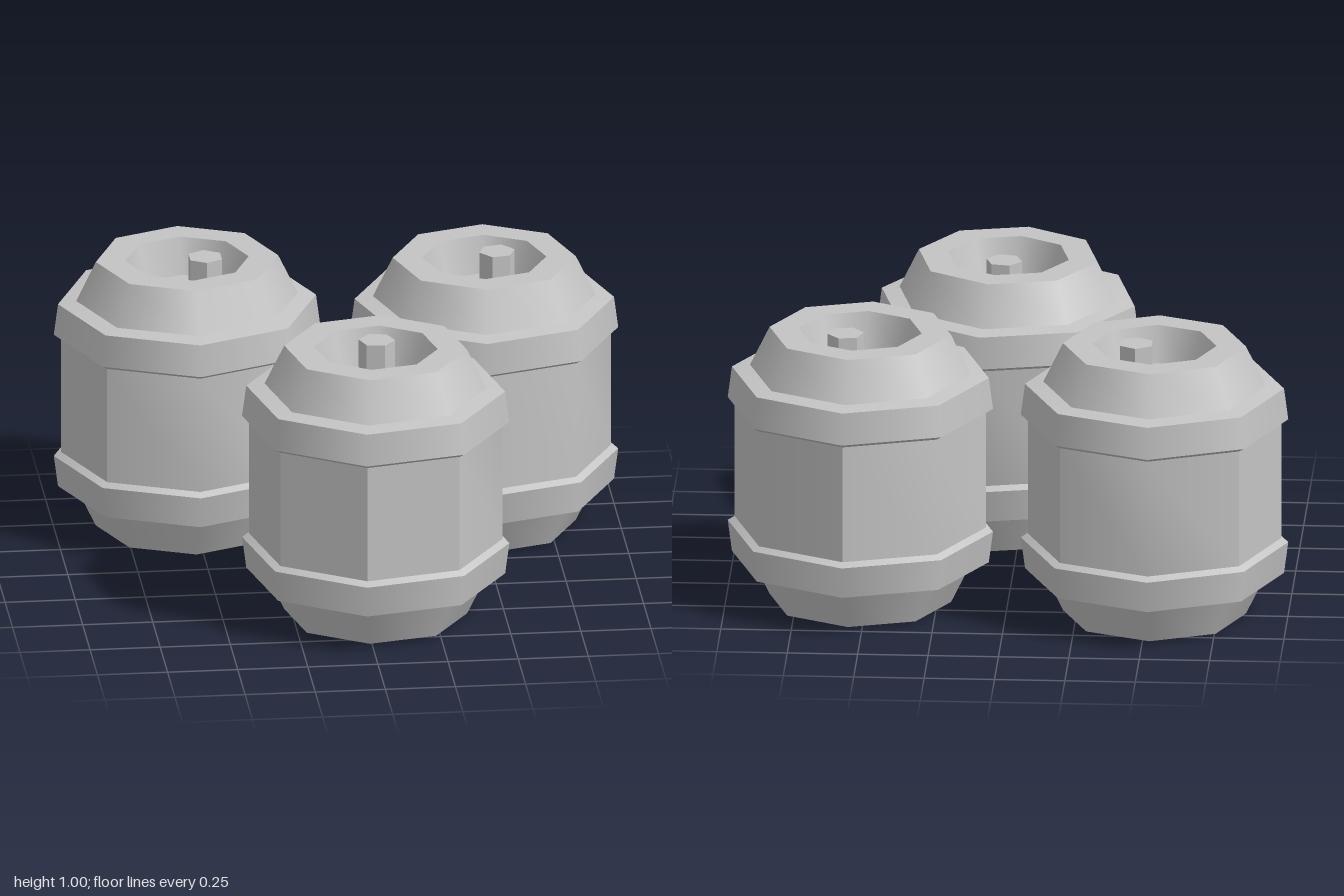
import * as THREE from 'three';

const rad = THREE.MathUtils.degToRad;
const SIDES = 8;

export function createModel() {
  const steel = new THREE.MeshStandardMaterial({ color: 0xc4c4c4 });
  steel.name = 'greySteel';

  const add = (parent, name, geometry) => {
    const mesh = new THREE.Mesh(geometry, steel);
    mesh.name = name;
    parent.add(mesh);
    return mesh;
  };

  // One eight-sided band between two profile points, with sharp rims
  const band = (a, b, segments = SIDES, start = 0, length = Math.PI * 2) =>
    new THREE.LatheGeometry([new THREE.Vector2(...a), new THREE.Vector2(...b)], segments, start, length);

  // A part made of consecutive bands along a profile of [radius, height]
  const bands = (parent, name, points) => {
    const part = new THREE.Group();
    part.name = name;
    for (let i = 0; i < points.length - 1; i++) add(part, name + 'Band', band(points[i], points[i + 1]));
    parent.add(part);
  };

  function buildKeg() {
    const keg = new THREE.Group();

    // Bottom: recess, rim and flared cone
    bands(keg, 'bottomCap', [[0, 0.13], [0.18, 0.13], [0.22, 0], [0.325, 0], [0.395, 0.145]]);
    bands(keg, 'lowerHoop', [[0.395, 0.145], [0.46, 0.155], [0.475, 0.27], [0.45, 0.285]]);

    // Barrel wall: smooth runs separated by sharp vertical edges (degrees)
    const wall = new THREE.Group();
    wall.name = 'barrelWall';
    for (const [from, to] of [[-45, 135], [135, 180], [180, 225], [225, 315]]) {
      const g = band([0.45, 0.285], [0.45, 0.715], (to - from) / 45, rad(90 - to), rad(to - from));
      g.computeVertexNormals();
      add(wall, 'wallPanel', g);
    }
    keg.add(wall);

    // Top: hoop, tapered cone, rim and sunken lid
    bands(keg, 'upperHoop', [[0.45, 0.715], [0.475, 0.73], [0.46, 0.845], [0.395, 0.855]]);
    bands(keg, 'topCap', [[0.395, 0.855], [0.325, 1], [0.22, 1], [0.18, 0.87], [0, 0.87]]);

    // Hexagonal valve standing off centre on the lid
    const valveGeometry = new THREE.CylinderGeometry(0.065, 0.065, 0.135, 6).toNonIndexed();
    valveGeometry.computeVertexNormals();
    add(keg, 'valve', valveGeometry).position.set(0.065, 0.9375, 0);
    return keg;
  }

  // Three kegs: name, x, z, turn in degrees
  const model = new THREE.Group();
  model.name = 'kegCluster';
  for (const [name, x, z, turn] of [
    ['backRightKeg', -0.525, -0.475, 0],
    ['backLeftKeg', 0.525, -0.38, 40.2],
    ['frontKeg', 0.0475, 0.475, 80.3],
  ]) {
    const keg = buildKeg();
    keg.name = name;
    keg.position.set(x, 0, z);
    keg.rotation.y = rad(turn);
    model.add(keg);
  }
  return model;
}
